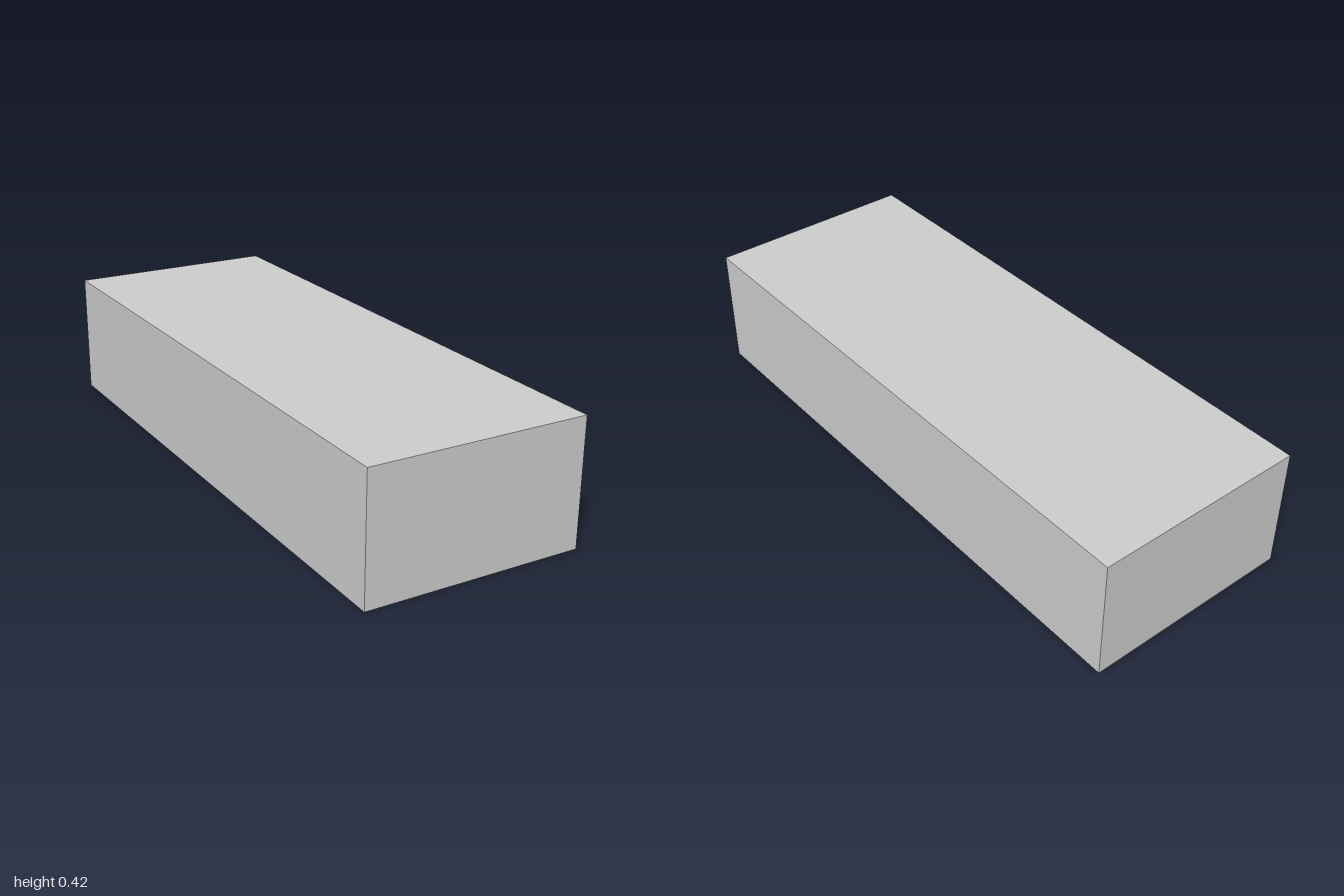
import * as THREE from 'three';

const W = 0.734, H = 0.424, L = 2;   // width (x), height (y), length (z)
const WALL = 0.0575;                 // thickness of walls, dividers and panel
const FIRST = 0.301, STEP = 0.014;   // first compartment length and its decrease
const CELLS = 6;

function rect(path, x0, y0, x1, y1) {
  path.moveTo(x0, y0);
  path.lineTo(x1, y0);
  path.lineTo(x1, y1);
  path.lineTo(x0, y1);
  path.closePath();
  return path;
}

export function createModel() {
  const group = new THREE.Group();
  group.name = 'compartmentBox';
  const material = new THREE.MeshStandardMaterial({ color: 0xcccccc, flatShading: true });

  // Walls and dividers: a plan outline with one hole per compartment,
  // the compartments getting shorter from back to front
  const plan = rect(new THREE.Shape(), -W / 2, -L / 2, W / 2, L / 2);
  let back = L / 2 - WALL;
  for (let i = 0; i < CELLS; i++) {
    const front = back - (FIRST - i * STEP);
    plan.holes.push(rect(new THREE.Path(), -W / 2 + WALL, front, W / 2 - WALL, back));
    back = front - WALL;
  }
  const frameGeometry = new THREE.ExtrudeGeometry(plan, { depth: H - WALL, bevelEnabled: false });
  frameGeometry.rotateX(-Math.PI / 2);
  const frame = new THREE.Mesh(frameGeometry, material);
  frame.name = 'wallsAndDividers';
  group.add(frame);

  // Closed panel over the compartments
  const panel = new THREE.Mesh(new THREE.BoxGeometry(W, WALL, L), material);
  panel.name = 'topPanel';
  panel.position.y = H - WALL / 2;
  group.add(panel);

  return group;
}
